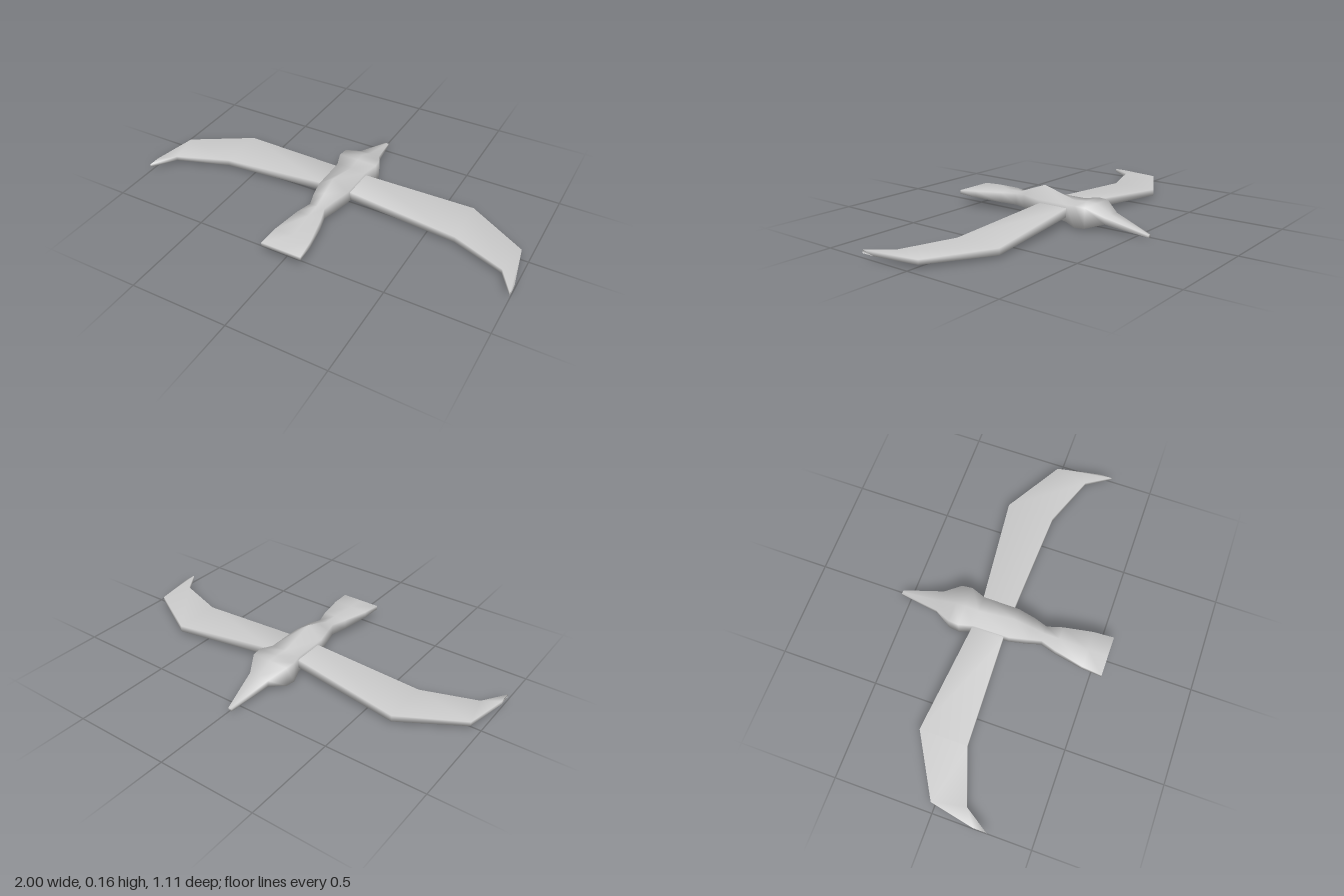
import * as THREE from 'three';

// Closed, smooth-shaded skin through rings of [x, y, z] points
// (each ring runs counterclockwise seen from the end of the sweep).
function loft(name, rings, material) {
  const n = rings[0].length;
  const last = (rings.length - 1) * n;
  const index = [];
  for (let r = 0; r < rings.length - 1; r++) {
    for (let j = 0; j < n; j++) {
      const k = (j + 1) % n;
      const a = r * n + j, b = r * n + k;
      index.push(a, b, b + n, a, b + n, a + n);
    }
  }
  for (let j = 1; j < n - 1; j++) {
    index.push(0, j + 1, j);
    index.push(last, last + j, last + j + 1);
  }
  const geometry = new THREE.BufferGeometry();
  geometry.setAttribute('position', new THREE.Float32BufferAttribute(rings.flat(2), 3));
  geometry.setIndex(index);
  geometry.computeVertexNormals();
  const mesh = new THREE.Mesh(geometry, material);
  mesh.name = name;
  return mesh;
}

export function createModel() {
  const group = new THREE.Group();
  group.name = 'glidingBird';
  const grey = new THREE.MeshStandardMaterial({ color: 0xcccccc });

  // Beak, head, back ridge and fan tail: z, half width, bottom, shoulder, ridge
  const bodySections = [
    [-0.555, 0.01, 0.0, 0.012, 0.012],
    [-0.34, 0.055, 0.036, 0.07, 0.072],
    [-0.255, 0.1, 0.01, 0.113, 0.114],
    [-0.2, 0.105, 0.006, 0.115, 0.117],
    [-0.13, 0.082, 0.02, 0.105, 0.11],
    [0.06, 0.08, 0.04, 0.105, 0.162],
    [0.15, 0.06, 0.04, 0.108, 0.13],
    [0.22, 0.04, 0.04, 0.1, 0.103],
    [0.3, 0.065, 0.045, 0.098, 0.1],
    [0.45, 0.096, 0.054, 0.088, 0.088],
    [0.555, 0.105, 0.06, 0.08, 0.08],
  ];
  group.add(loft('body', bodySections.map(([z, w, bottom, shoulder, ridge]) => [
    [w, bottom, z], [w, shoulder, z], [0, ridge, z], [-w, shoulder, z], [-w, bottom, z],
  ]), grey));

  // Wings: leading x, leading z, trailing x, trailing z, bottom, top
  const wingSections = [
    [0.02, -0.13, 0.02, 0.028, 0.045, 0.092],
    [0.09, -0.135, 0.09, 0.032, 0.043, 0.088],
    [0.65, -0.197, 0.65, 0.05, 0.014, 0.047],
    [0.955, -0.02, 0.92, 0.15, 0.018, 0.042],
    [1.0, 0.21, 1.0, 0.275, 0.022, 0.039],
  ];
  for (const side of [1, -1]) {
    const rings = wingSections.map(([lx, lz, tx, tz, bottom, top]) => {
      const ring = [
        [side * lx, bottom, lz], [side * lx, top, lz],
        [side * tx, top, tz], [side * tx, bottom, tz],
      ];
      return side > 0 ? ring : ring.reverse();
    });
    group.add(loft(side > 0 ? 'leftWing' : 'rightWing', rings, grey));
  }
  return group;
}
